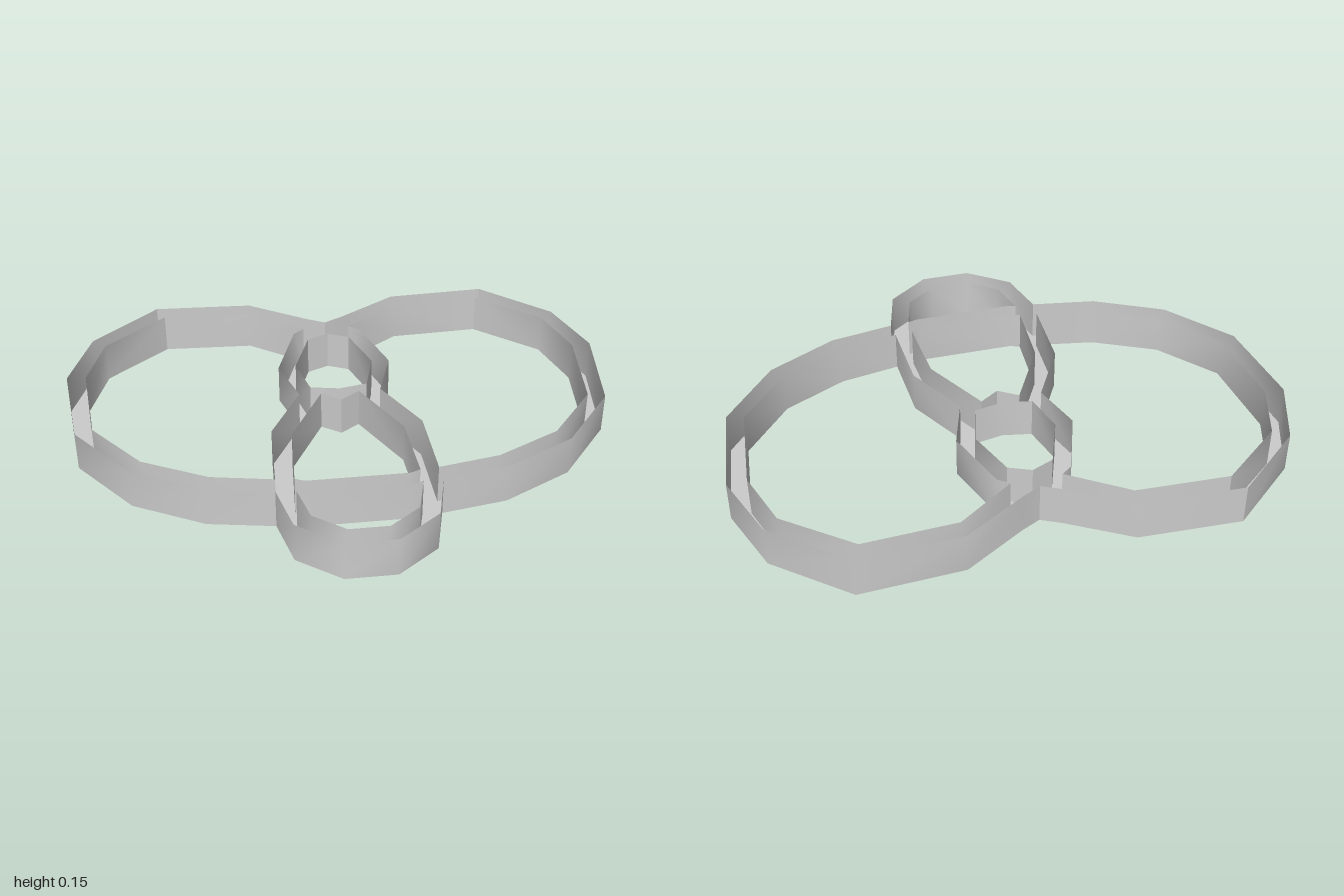
import * as THREE from 'three';
import { toCreasedNormals } from 'three/addons/utils/BufferGeometryUtils.js';

const HEIGHT = 0.15;

const grey = new THREE.MeshStandardMaterial({ color: 0xcccccc, side: THREE.DoubleSide });

const mirror = (pts) => pts.map(([x, z]) => [-x, z]);
// Close a right-hand half outline with its mirror image
const bothSides = (pts) => [...pts, ...mirror(pts).reverse().filter(([x]) => x !== 0)];
const vectors = (pts) => pts.map(([x, z]) => new THREE.Vector2(x, z));

// Thin upright wall around a closed plan outline
function wall(name, outline) {
  const pos = [], index = [];
  [...outline, outline[0]].forEach(([x, z], i) => {
    pos.push(x, 0, z, x, HEIGHT, z);
    if (i) {
      const a = 2 * (i - 1);
      index.push(a, a + 1, a + 2, a + 1, a + 3, a + 2);
    }
  });
  const geo = new THREE.BufferGeometry();
  geo.setAttribute('position', new THREE.Float32BufferAttribute(pos, 3));
  geo.setIndex(index);
  const mesh = new THREE.Mesh(toCreasedNormals(geo, 0.7), grey);
  mesh.name = name;
  return mesh;
}

// Flat bottom of the channel, open at each hole
function floor(outline, holes) {
  const shape = new THREE.Shape(vectors(outline));
  holes.forEach((hole) => shape.holes.push(new THREE.Path(vectors(hole))));
  const mesh = new THREE.Mesh(new THREE.ShapeGeometry(shape).rotateX(Math.PI / 2), grey);
  mesh.name = 'floor';
  return mesh;
}

export function createModel() {
  // Outer edge: round the ears, then the lower end
  const outline = bothSides([[0, -0.58], [0.07, -0.615], [0.29, -0.748], [0.66, -0.765],
    [0.91, -0.55], [1, -0.3], [0.96, 0.06], [0.77, 0.3], [0.52, 0.43], [0.285, 0.47],
    [0.24, 0.65], [0.09, 0.762]]);

  // Ear opening, bounded inside by the oval and the loop below it
  const ear = [[0.09, -0.54], [0.295, -0.682], [0.63, -0.697], [0.86, -0.51], [0.93, -0.295],
    [0.9, 0.04], [0.73, 0.25], [0.5, 0.365], [0.28, 0.405], [0.27, 0.13], [0.15, -0.09],
    [0.21, -0.275], [0.13, -0.51]];

  // Openings on the centre line
  const oval = bothSides([[0, -0.495], [0.08, -0.46], [0.145, -0.28], [0.105, -0.13], [0, -0.11]]);
  const middle = bothSides([[0, -0.038], [0.07, -0.085], [0.2, 0.155], [0.215, 0.41], [0.18, 0.425]]);
  const lower = bothSides([[0.18, 0.485], [0.215, 0.475], [0.18, 0.61], [0.07, 0.693]]);

  const openings = {
    leftEarWall: ear,
    rightEarWall: mirror(ear),
    ovalWall: oval,
    middleWall: middle,
    lowerWall: lower,
  };

  const model = new THREE.Group();
  model.add(floor(outline, Object.values(openings)), wall('outerWall', outline));
  for (const [name, path] of Object.entries(openings)) model.add(wall(name, path));
  return model;
}
